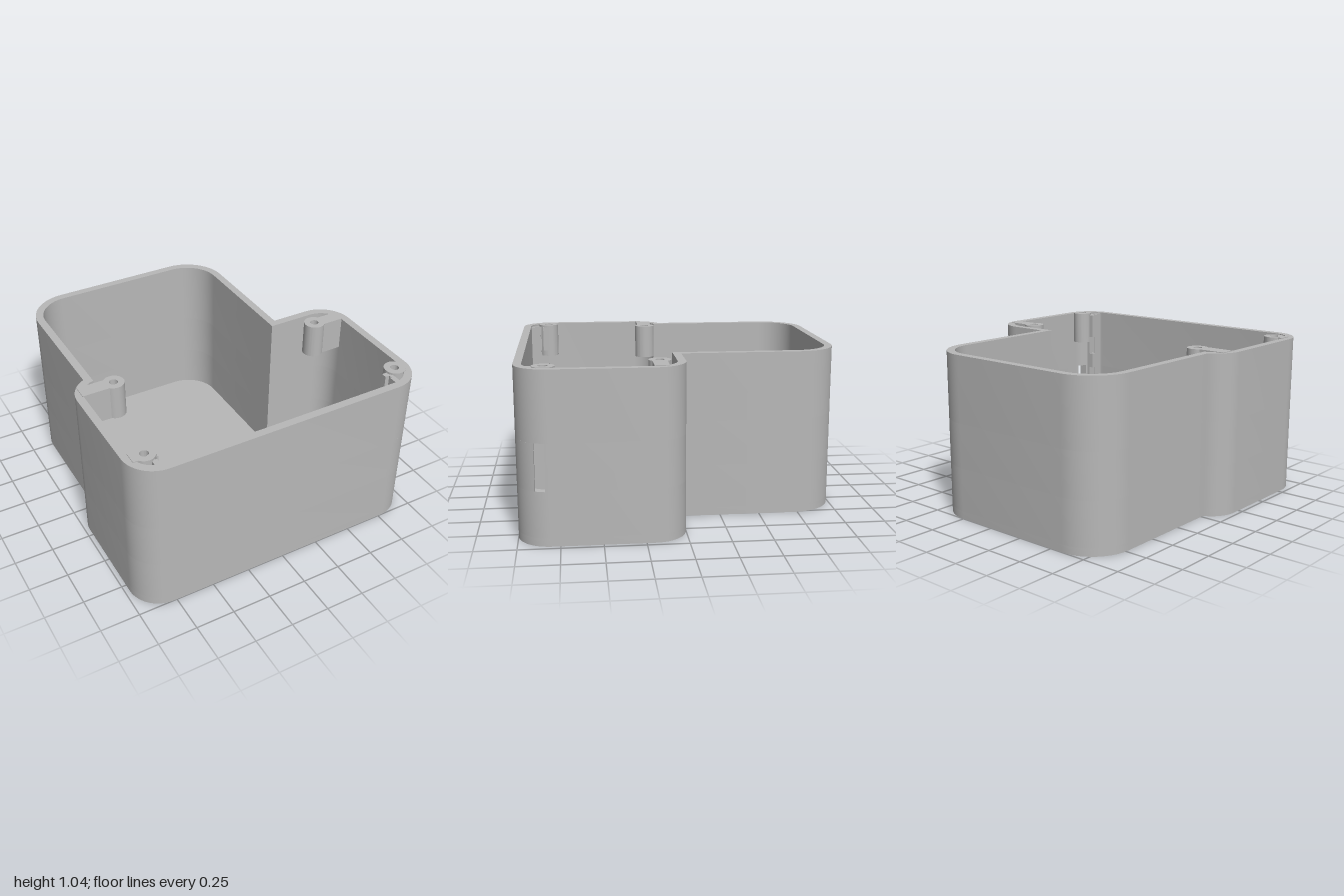
import * as THREE from 'three';
import { toCreasedNormals } from 'three/addons/utils/BufferGeometryUtils.js';

const H = 1.04, FLOOR = 0.05, WALL = 0.05;
const PI = Math.PI;

// Plan outline (x, z), shrunk by t, starting and ending on the front right corner
function outline(t, start = 0, end = 0) {
  const pts = [];
  const arc = (cx, cz, r, a0, a1) => {
    for (let i = 0; i <= 14; i++) {
      const a = a0 + (a1 - a0) * i / 14;
      pts.push(new THREE.Vector2(cx + r * Math.cos(a), cz + r * Math.sin(a)));
    }
  };
  const r = 0.2 - t, R = 0.27 - t;
  arc(0.77, 0.8, r, start, PI / 2);
  arc(-0.77, 0.8, r, PI / 2, PI);
  arc(-0.77, 0.2, r, PI, PI + Math.acos((0.085 - t) / r));
  arc(-0.585, -0.73, R, PI, 1.5 * PI);
  arc(0.25, -0.73, R, 1.5 * PI, 2 * PI);
  pts.push(new THREE.Vector2(0.52 - t, t));
  arc(0.77, 0.2, r, 1.5 * PI, 2 * PI);
  if (end > 0) arc(0.77, 0.8, r, 0, end);
  return pts;
}

// Extrudes a plan shape between two heights
function slab(shape, y0, y1) {
  const g = new THREE.ExtrudeGeometry(shape, { depth: y1 - y0, bevelEnabled: false, curveSegments: 20 });
  g.rotateX(PI / 2);
  g.translate(0, y1, 0);
  return toCreasedNormals(g, 0.5);
}

// Rounded rectangular opening
function roundedHole(x0, z0, x1, z1, r) {
  const p = new THREE.Path();
  p.absarc(x1 - r, z1 - r, r, 0, PI / 2);
  p.absarc(x0 + r, z1 - r, r, PI / 2, PI);
  p.absarc(x0 + r, z0 + r, r, PI, 1.5 * PI);
  p.absarc(x1 - r, z0 + r, r, 1.5 * PI, 2 * PI);
  p.closePath();
  return p;
}

function circleHole(x, z, r) {
  const p = new THREE.Path();
  p.absarc(x, z, r, 0, 2 * PI);
  return p;
}

export function createModel() {
  const model = new THREE.Group();
  model.name = 'enclosure';
  const plastic = new THREE.MeshStandardMaterial({ color: 0xb8b8b8 });
  plastic.name = 'grey plastic';
  const add = (name, geometry, parent = model) => {
    const m = new THREE.Mesh(geometry, plastic);
    m.name = name;
    parent.add(m);
    return m;
  };

  // Floor with vents, a round hole and a connector opening
  const floor = new THREE.Shape(outline(0));
  for (let i = 0; i < 8; i++) {
    const x = -0.535 + i * 0.0959;
    floor.holes.push(roundedHole(x - 0.026, 0.09, x + 0.026, 0.285, 0.0255));
  }
  floor.holes.push(circleHole(0.427, 0.497, 0.065));
  floor.holes.push(roundedHole(-0.7, 0.597, -0.445, 0.71, 0.015));
  add('floor', slab(floor, 0, FLOOR));

  // Walls: closed rings below and above the side slot
  const ring = new THREE.Shape(outline(0));
  ring.holes.push(new THREE.Path(outline(WALL)));
  add('lowerWall', slab(ring, FLOOR, 0.33));
  add('upperWall', slab(ring, 0.615, H));

  // Wall band broken by the slot
  const angle = (z, r) => Math.asin((z - 0.8) / r);
  const outer = outline(0, angle(0.89, 0.2), angle(0.83, 0.2));
  const inner = outline(WALL, angle(0.89, 0.15), angle(0.83, 0.15));
  add('slottedWall', slab(new THREE.Shape([...outer, ...inner.reverse()]), 0.33, 0.615));

  // Screw posts hung from the rim, each with a web to the side wall
  const posts = [
    ['backLeftPost', 0.735, 0.15, 0.11, 0.198],
    ['backRightPost', -0.705, 0.13, 0.083, 0.178],
    ['frontLeftPost', 0.87, 0.825, 0.785, 0.865],
    ['frontRightPost', -0.84, 0.825, 0.785, 0.865],
  ];
  for (const [name, x, z, z0, z1] of posts) {
    const s = Math.sign(x), r = 0.067;
    const a0 = Math.asin((z1 - z) / r), a1 = Math.asin((z0 - z) / r);
    const shape = new THREE.Shape();
    shape.moveTo(s * 0.925, z0);
    shape.lineTo(s * 0.925, z1);
    if (s > 0) shape.absarc(x, z, r, a0, 2 * PI + a1, false);
    else shape.absarc(x, z, r, PI - a0, PI - a1, true);
    shape.closePath();
    shape.holes.push(circleHole(x, z, 0.027));
    add(name, slab(shape, 0.82, H + 0.004));
  }

  // Board guides at both front corners: rail, clips and shelf
  const box = (name, s, x0, x1, y0, y1, z0, z1, parent) => {
    const m = add(name, new THREE.BoxGeometry(x1 - x0, y1 - y0, z1 - z0), parent);
    m.position.set(s * (x0 + x1) / 2, (y0 + y1) / 2, (z0 + z1) / 2);
  };
  for (const s of [1, -1]) {
    const guide = new THREE.Group();
    guide.name = s > 0 ? 'leftBoardGuide' : 'rightBoardGuide';
    model.add(guide);
    box('rail', s, 0.79, 0.825, 0.2, 1.03, 0.885, 0.955, guide);
    box('railLip', s, 0.8, 0.825, 0.2, 1.03, 0.83, 0.89, guide);
    for (const [y0, y1] of [[0.32, 0.4], [0.62, 0.73], [0.86, 1.03]])
      box('clip', s, 0.772, 0.805, y0, y1, 0.83, 0.865, guide);
    box('shelf', s, 0.705, 0.778, 0.21, 0.27, 0.785, 0.955, guide);
  }
  return model;
}
